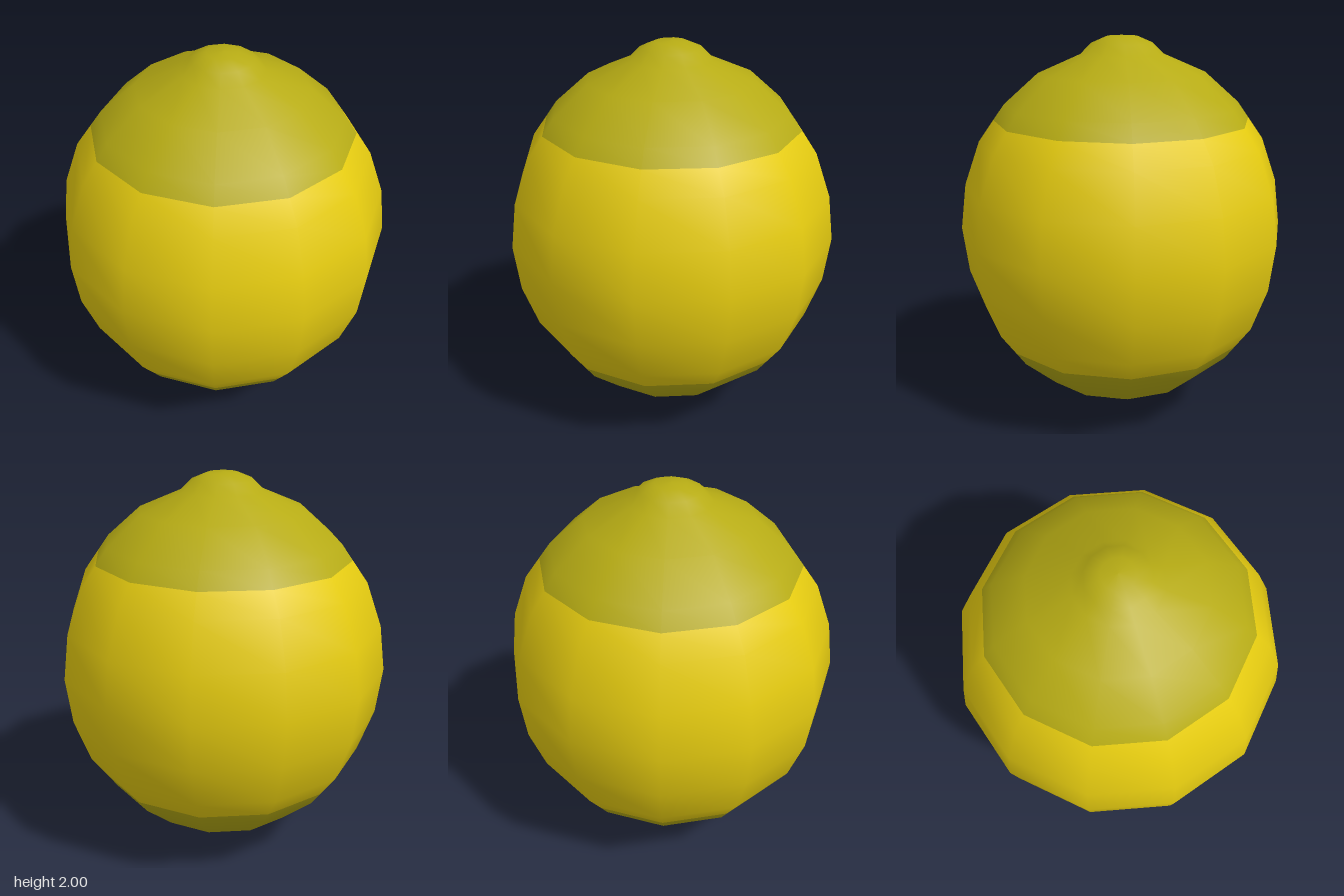
import * as THREE from 'three';

const SIDES = 12;

// Half outline of the fruit as [radius, height], from the lower tip to the upper tip
const PROFILE = [
  [0, 0], [0.08, 0.02], [0.155, 0.055], [0.21, 0.11], [0.425, 0.2], [0.6, 0.355],
  [0.653, 0.43], // lower colour edge
  [0.735, 0.545], [0.815, 0.77], [0.845, 1.01], [0.815, 1.245], [0.735, 1.47],
  [0.657, 1.58], // upper colour edge
  [0.6, 1.66], [0.425, 1.815], [0.21, 1.908], [0.155, 1.963], [0.08, 1.995], [0, 2],
];
const LOWER_EDGE = 6;
const UPPER_EDGE = 12;

export function createModel() {
  const peel = new THREE.MeshStandardMaterial({ color: 0xe6cc10 });
  peel.name = 'yellow peel';
  const tip = new THREE.MeshStandardMaterial({ color: 0xb6ab14 });
  tip.name = 'olive tip';

  const lathe = new THREE.LatheGeometry(PROFILE.map(([r, y]) => new THREE.Vector2(r, y)), SIDES);
  const rows = PROFILE.length - 1;

  // One band of the fruit; sharing the lathe's normals keeps the shading smooth across colours
  function band(name, from, to, material) {
    const geometry = lathe.clone();
    const index = [];
    for (let s = 0; s < SIDES; s++) {
      const start = (s * rows + from) * 6;
      const end = (s * rows + to) * 6;
      for (let k = start; k < end; k++) index.push(lathe.index.getX(k));
    }
    geometry.setIndex(index);
    const mesh = new THREE.Mesh(geometry, material);
    mesh.name = name;
    return mesh;
  }

  const fruit = new THREE.Group();
  fruit.name = 'lemon';
  fruit.add(
    band('lowerTip', 0, LOWER_EDGE, tip),
    band('body', LOWER_EDGE, UPPER_EDGE, peel),
    band('upperTip', UPPER_EDGE, rows, tip),
  );
  return fruit;
}
